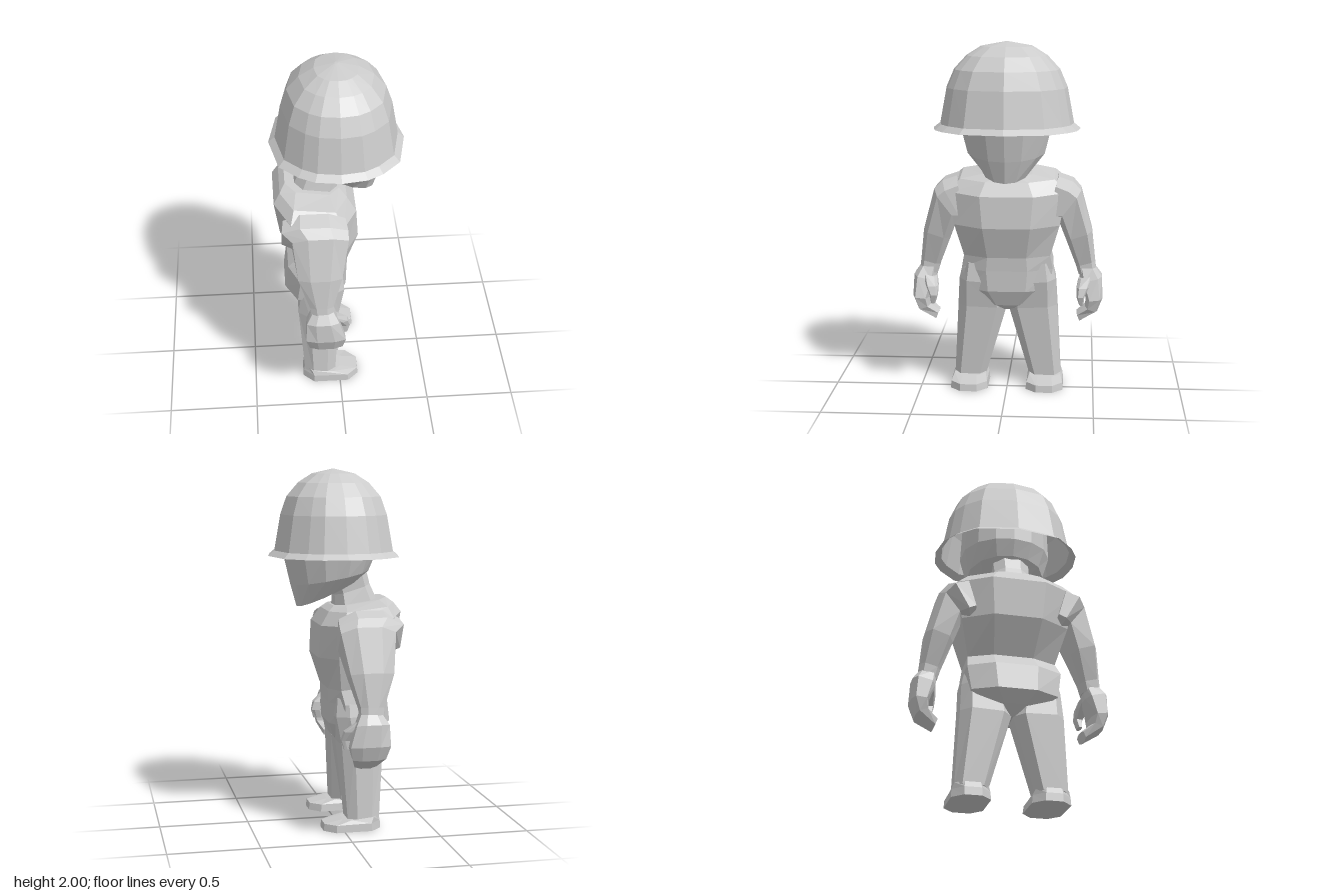
import * as THREE from 'three';

const V = (x, y, z) => new THREE.Vector3(x, y, z);
const material = new THREE.MeshStandardMaterial({ color: 0xcccccc, flatShading: true });
const openMaterial = new THREE.MeshStandardMaterial({ color: 0xcccccc, flatShading: true, side: THREE.DoubleSide });

// Unit outlines: quarter points are mirrored round to a closed ring
function outline(quarter) {
  const back = quarter.slice(1, -1).reverse();
  const half = [...quarter, ...back.map(([a, b]) => [-a, b]), [-1, 0]];
  return [...half, ...half.slice(1, -1).reverse().map(([a, b]) => [a, -b])];
}
const OCT = [[1, 0.45], [0.62, 1], [-0.62, 1], [-1, 0.45], [-1, -0.45], [-0.62, -1], [0.62, -1], [1, -0.45]];
const ROUND = outline([[1, 0], [0.92, 0.42], [0.68, 0.78], [0.28, 1], [0, 1]]);
const SHELL = outline([[1, 0], [0.87, 0.58], [0.6, 0.83], [0.37, 0.95], [0, 1]]);

// Ring whose middle line runs from a to b, with half width w across it
function ring(a, b, w, shape = OCT) {
  const mid = a.clone().add(b).multiplyScalar(0.5);
  const half = b.clone().sub(a).multiplyScalar(0.5);
  return shape.map(([s, t]) => mid.clone().addScaledVector(half, s).addScaledVector(w, t));
}

// Skin over rings, with end caps, always turned outwards
function loft(rings, capStart = true, capEnd = true) {
  const tris = [];
  const n = rings[0].length;
  const centre = (r) => r.reduce((s, p) => s.add(p), V(0, 0, 0)).divideScalar(n);
  const first = rings[0], last = rings[rings.length - 1];
  const c0 = centre(first), c1 = centre(last);
  for (let j = 0; j < n; j++) {
    const k = (j + 1) % n;
    for (let i = 0; i < rings.length - 1; i++) {
      const p = rings[i], q = rings[i + 1];
      tris.push([p[j], p[k], q[k]], [p[j], q[k], q[j]]);
    }
    if (capStart) tris.push([c0, first[k], first[j]]);
    if (capEnd) tris.push([c1, last[j], last[k]]);
  }
  let volume = 0;
  for (const [a, b, c] of tris) {
    volume += a.clone().sub(c0).dot(b.clone().sub(c0).cross(c.clone().sub(c0)));
  }
  const points = tris.flatMap(([a, b, c]) => (volume < 0 ? [a, c, b] : [a, b, c]));
  const geometry = new THREE.BufferGeometry().setFromPoints(points);
  geometry.computeVertexNormals();
  return geometry;
}

// Rows [backX, backY, frontX, frontY, halfZ] for parts on the centre line
const central = (rows, shape = OCT) =>
  rows.map(([bx, by, fx, fy, hz]) => ring(V(bx, by, 0), V(fx, fy, 0), V(0, 0, hz), shape));

// Rows [backX, frontX, innerZ, innerY, outerZ, outerY] for limbs on one side
const lateral = (rows, side) =>
  rows.map(([x0, x1, zi, yi, zo, yo]) =>
    ring(V((x0 + x1) / 2, yi, zi * side), V((x0 + x1) / 2, yo, zo * side), V((x1 - x0) / 2, 0, 0)));

export function createModel() {
  const model = new THREE.Group();
  const add = (name, geometry, mat = material, parent = model) => {
    const mesh = new THREE.Mesh(geometry, mat);
    mesh.name = name;
    parent.add(mesh);
  };

  // Hollow helmet with a flared rim
  add('helmet', loft(central([
    [-0.37, 1.52, 0.37, 1.52, 0.413],
    [-0.335, 1.55, 0.335, 1.55, 0.375],
    [-0.3, 1.75, 0.3, 1.75, 0.338],
    [-0.265, 1.85, 0.265, 1.85, 0.295],
    [-0.2, 1.925, 0.2, 1.925, 0.225],
    [-0.12, 1.975, 0.12, 1.975, 0.145],
    [-0.01, 2, 0.01, 2, 0.01],
  ], SHELL), false, true), openMaterial);

  // Head with a sloping jaw
  add('head', loft(central([
    [-0.24, 1.72, 0.27, 1.72, 0.24],
    [-0.24, 1.53, 0.285, 1.53, 0.25],
    [-0.2, 1.44, 0.245, 1.36, 0.215],
    [-0.15, 1.395, 0.21, 1.235, 0.14],
  ], ROUND)));

  add('neck', loft(central([
    [-0.17, 1.48, 0.04, 1.42, 0.105],
    [-0.2, 1.36, 0.0, 1.3, 0.1],
    [-0.24, 1.27, 0.0, 1.22, 0.115],
  ])));

  // Chest, waist, hips and seat
  add('torso', loft(central([
    [-0.29, 1.285, 0.01, 1.24, 0.14],
    [-0.32, 1.26, 0.05, 1.215, 0.27],
    [-0.355, 1.21, 0.1, 1.14, 0.335],
    [-0.325, 1.0, 0.112, 0.96, 0.3],
    [-0.205, 0.81, 0.055, 0.78, 0.247],
    [-0.285, 0.73, 0.05, 0.7, 0.262],
    [-0.305, 0.58, 0.047, 0.58, 0.24],
    [-0.24, 0.52, 0.01, 0.49, 0.14],
    [-0.18, 0.47, -0.02, 0.46, 0.04],
  ])));

  for (const side of [1, -1]) {
    const prefix = side > 0 ? 'left' : 'right';
    const arm = new THREE.Group();
    arm.name = prefix + 'ArmGroup';
    const leg = new THREE.Group();
    leg.name = prefix + 'LegGroup';
    model.add(arm, leg);

    add(prefix + 'Arm', loft(lateral([
      [-0.31, 0.03, 0.22, 1.0, 0.29, 1.235],
      [-0.32, 0.04, 0.25, 0.98, 0.375, 1.205],
      [-0.265, 0.04, 0.29, 0.99, 0.42, 1.16],
      [-0.24, 0.0, 0.335, 0.87, 0.485, 0.92],
      [-0.18, -0.05, 0.395, 0.71, 0.505, 0.74],
      [-0.17, -0.05, 0.41, 0.66, 0.515, 0.66],
    ], side)), material, arm);

    // Half closed hand: palm, then fingers curling inwards
    add(prefix + 'Hand', loft(lateral([
      [-0.165, -0.05, 0.41, 0.7, 0.51, 0.7],
      [-0.2, -0.02, 0.42, 0.62, 0.545, 0.65],
      [-0.205, 0.015, 0.455, 0.52, 0.55, 0.53],
      [-0.185, 0.0, 0.45, 0.475, 0.52, 0.45],
      [-0.155, -0.03, 0.4, 0.435, 0.42, 0.385],
    ], side)), material, arm);

    add(prefix + 'Thumb', loft(lateral([
      [-0.11, -0.03, 0.41, 0.64, 0.49, 0.66],
      [-0.07, 0.03, 0.4, 0.6, 0.47, 0.6],
      [-0.02, 0.045, 0.4, 0.55, 0.445, 0.55],
      [-0.03, 0.03, 0.415, 0.5, 0.44, 0.5],
    ], side)), material, arm);

    add(prefix + 'Leg', loft(lateral([
      [-0.19, 0.02, 0.06, 0.74, 0.255, 0.74],
      [-0.215, 0.03, 0.03, 0.62, 0.278, 0.64],
      [-0.235, 0.0, 0.005, 0.47, 0.288, 0.48],
      [-0.205, -0.025, 0.125, 0.06, 0.31, 0.06],
    ], side)), material, leg);

    // Foot: heel and ankle upright, toe low and flat
    const foot = (x0, x1, y0, y1, zi, zo) =>
      ring(V(x0, y0, side * (zi + zo) / 2), V(x1, y1, side * (zi + zo) / 2), V(0, 0, (zo - zi) / 2));
    add(prefix + 'Foot', loft([
      foot(-0.215, 0.11, 0, 0, 0.11, 0.325),
      foot(-0.212, 0.105, 0.045, 0.04, 0.115, 0.322),
      foot(-0.205, 0.0, 0.08, 0.06, 0.128, 0.31),
    ]), material, leg);
  }
  return model;
}
